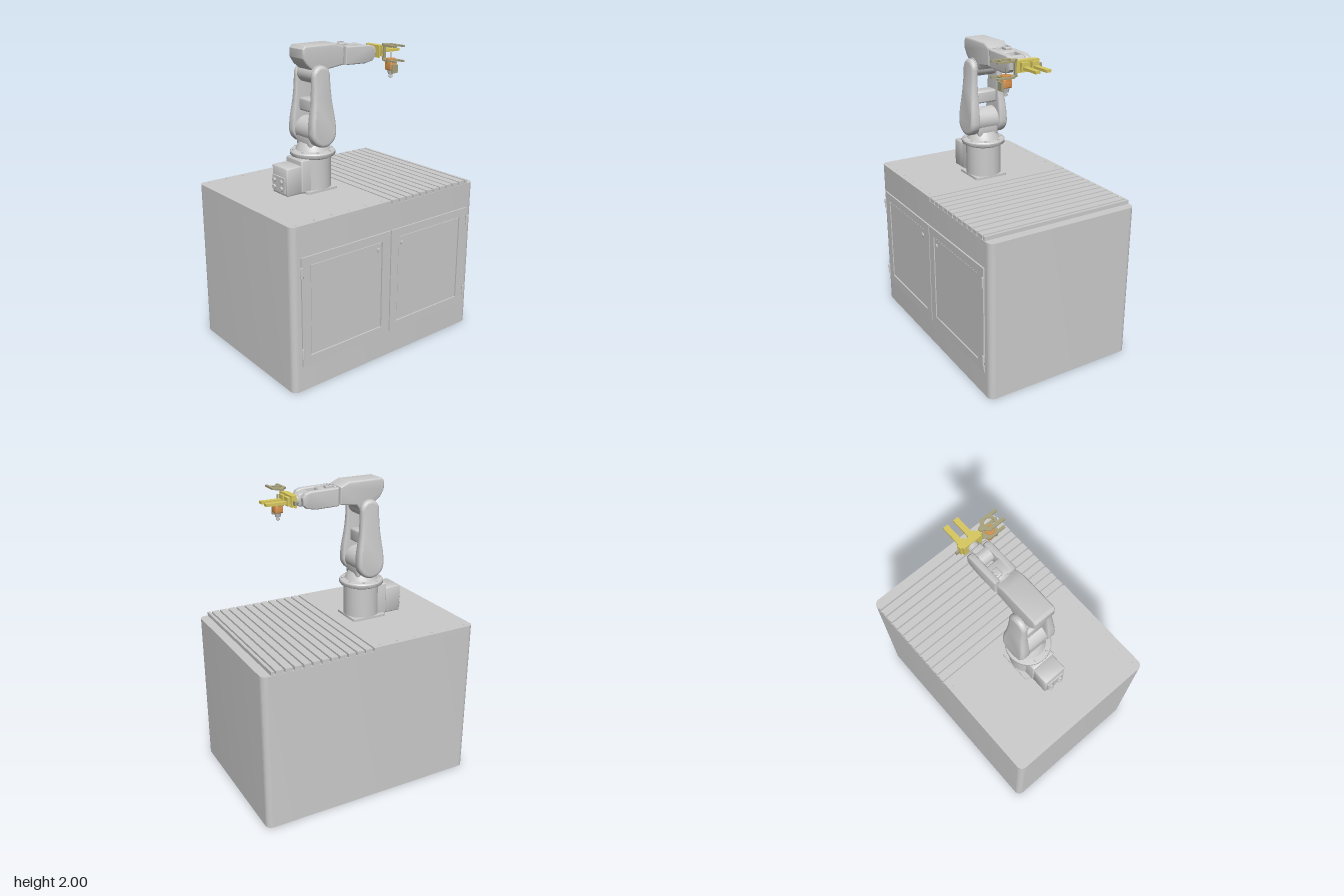
import * as THREE from 'three';
import { toCreasedNormals } from 'three/addons/utils/BufferGeometryUtils.js';
import { RoundedBoxGeometry } from 'three/addons/geometries/RoundedBoxGeometry.js';

const grey = new THREE.MeshStandardMaterial({ color: 0xcccccc });
const yellow = new THREE.MeshStandardMaterial({ color: 0xd8c860 });
const orange = new THREE.MeshStandardMaterial({ color: 0xd8924c });
const olive = new THREE.MeshStandardMaterial({ color: 0xa8a27c });
const RX = -0.21, RZ = -0.006; // robot axis

function add(parent, name, geo, mat = grey) {
  const mesh = new THREE.Mesh(toCreasedNormals(geo, 0.6), mat);
  mesh.name = name;
  parent.add(mesh);
  return mesh;
}

// Box given by its limits, optionally with rounded edges
function box(parent, name, [x0, x1], [y0, y1], [z0, z1], mat = grey, r = 0) {
  const s = [x1 - x0, y1 - y0, z1 - z0];
  const g = r ? new RoundedBoxGeometry(...s, 3, r) : new THREE.BoxGeometry(...s);
  g.translate((x0 + x1) / 2, (y0 + y1) / 2, (z0 + z1) / 2);
  return add(parent, name, g, mat);
}

// Cylinder along an axis
function cyl(parent, name, [x, y, z], r0, r1, h, axis = 'y', mat = grey) {
  const g = new THREE.CylinderGeometry(r1, r0, h, 40);
  if (axis === 'x') g.rotateZ(-Math.PI / 2);
  if (axis === 'z') g.rotateX(Math.PI / 2);
  return add(parent, name, g.translate(x, y, z), mat);
}

// Shape in the xy plane extruded between z0 and z1 with rounded rims
function prismGeo(shape, z0, z1, b = 0) {
  return new THREE.ExtrudeGeometry(shape, {
    depth: z1 - z0 - 2 * b, bevelEnabled: b > 0, bevelSize: b, bevelThickness: b,
    bevelOffset: -b, bevelSegments: 4, curveSegments: 16,
  }).translate(0, 0, z0 + b);
}

const poly = (pts) => new THREE.Shape(pts.map((p) => new THREE.Vector2(...p)));

// Rectangle with separate radii for its left and right corners
function roundRect(x0, x1, y0, y1, rl, rr = rl) {
  const s = new THREE.Shape();
  s.moveTo(x0 + rl, y0).lineTo(x1 - rr, y0);
  if (rr) s.absarc(x1 - rr, y0 + rr, rr, -Math.PI / 2, 0).absarc(x1 - rr, y1 - rr, rr, 0, Math.PI / 2);
  else s.lineTo(x1, y1);
  s.lineTo(x0 + rl, y1);
  if (rl) s.absarc(x0 + rl, y1 - rl, rl, Math.PI / 2, Math.PI).absarc(x0 + rl, y0 + rl, rl, Math.PI, Math.PI * 1.5);
  s.closePath();
  return s;
}

// Plan shape (x, -z) raised between two heights
const slab = (shape, y0, y1) => prismGeo(shape, y0, y1).rotateX(-Math.PI / 2);

function buildCabinet(root) {
  const g = new THREE.Group();
  g.name = 'cabinet';
  root.add(g);
  add(g, 'cabinetBody', slab(roundRect(-0.755, 0.755, -0.517, 0.537, 0.04), 0, 1.05));
  add(g, 'topPlate', slab(roundRect(-0.755, 0.004, -0.517, 0.537, 0.04, 0), 1.05, 1.075));
  // Slotted table
  for (let i = 0; i < 12; i++) {
    const x = 0.016 + i * 0.06;
    box(g, 'tableSlat', [x, i < 11 ? x + 0.048 : 0.695], [1.05, 1.075], [-0.535, 0.515]);
  }
  // Plate screws
  for (let i = 0; i < 6; i++) for (const z of [-0.505, 0.485])
    cyl(g, 'plateScrew', [-0.7 + i * 0.13, 1.0765, z], 0.006, 0.006, 0.004);
  // Doors with inset panels, hinges and latches
  for (const s of [-1, 1]) {
    const door = new THREE.Group();
    door.name = s < 0 ? 'rightDoor' : 'leftDoor';
    g.add(door);
    const [a, b] = s < 0 ? [-0.693, -0.004] : [0.004, 0.693];
    const [c, d] = s < 0 ? [-0.63, -0.07] : [0.063, 0.625];
    const frame = poly([[a, 0.17], [b, 0.17], [b, 0.88], [a, 0.88]]);
    frame.holes.push(poly([[c, 0.23], [c, 0.825], [d, 0.825], [d, 0.23]]));
    add(door, 'doorFrame', prismGeo(frame, 0.515, 0.527));
    box(door, 'doorPanel', [c + 0.006, d - 0.006], [0.236, 0.819], [0.515, 0.523]);
    for (const y of [0.26, 0.79])
      cyl(door, 'hinge', [s * 0.695, y, 0.53], 0.008, 0.008, 0.065);
    cyl(door, 'latch', [s * 0.1, 0.775, 0.525], 0.014, 0.014, 0.012, 'z');
  }
}

function buildBase(robot) {
  const foot = roundRect(RX - 0.125, RX + 0.118, -RZ - 0.118, -RZ + 0.118, 0.02);
  add(robot, 'footPlate', slab(foot, 1.075, 1.09));
  // Turned column with the swivel flange
  const profile = [[0, 1.08], [0.117, 1.08], [0.117, 1.29], [0.125, 1.3], [0.142, 1.302], [0.146, 1.308],
    [0.146, 1.325], [0.14, 1.333], [0.11, 1.337], [0.1, 1.36], [0.085, 1.385], [0, 1.385]];
  add(robot, 'baseColumn', new THREE.LatheGeometry(profile.map((p) => new THREE.Vector2(...p)), 48)
    .translate(RX, 0, RZ));
  box(robot, 'baseHousing', [-0.36, RX], [1.08, 1.295], [RZ - 0.085, RZ + 0.085], grey, 0.01);
  box(robot, 'connectorBox', [-0.47, -0.34], [1.08, 1.262], [RZ - 0.08, RZ + 0.08], grey, 0.008);
  box(robot, 'connectorPanel', [-0.48, -0.465], [1.1, 1.2], [RZ - 0.065, RZ + 0.065]);
  for (const z of [-0.04, 0.035]) for (const y of [1.125, 1.17])
    cyl(robot, 'connector', [-0.484, y, RZ + z], 0.014, 0.014, 0.018, 'x');
  for (let i = 0; i < 8; i++) {
    const t = (i + 0.5) * Math.PI / 4;
    cyl(robot, 'flangeBolt', [RX + 0.126 * Math.cos(t), 1.336, RZ + 0.126 * Math.sin(t)], 0.008, 0.008, 0.012);
  }
}

function buildLowerArm(robot) {
  box(robot, 'shoulderBlock', [RX - 0.075, RX + 0.075], [1.36, 1.46], [RZ - 0.075, RZ + 0.075], grey, 0.015);
  cyl(robot, 'shoulderDrum', [RX, 1.46, RZ], 0.083, 0.083, 0.156, 'z');
  box(robot, 'crossBar', [RX - 0.045, RX + 0.045], [1.58, 1.662], [RZ - 0.08, RZ + 0.08], grey, 0.012);
  cyl(robot, 'elbowDrum', [RX, 1.82, RZ], 0.06, 0.06, 0.156, 'z');
  // Bottle-shaped side links, thicker at the shoulder
  const link = new THREE.Shape();
  link.moveTo(0.066, 1.81);
  link.absarc(0, 1.81, 0.066, 0, Math.PI);
  link.bezierCurveTo(-0.066, 1.6, -0.094, 1.58, -0.094, 1.46);
  link.absarc(0, 1.46, 0.094, Math.PI, Math.PI * 2);
  link.bezierCurveTo(0.094, 1.58, 0.066, 1.6, 0.066, 1.81);
  for (const s of [-1, 1]) {
    const geo = prismGeo(link, 0, 1, 0.022);
    const p = geo.attributes.position;
    for (let i = 0; i < p.count; i++) {
      const t = THREE.MathUtils.smoothstep(p.getY(i), 1.42, 1.85);
      const z = p.getZ(i);
      const reach = 0.068 - 0.026 * t;
      p.setZ(i, z < 0.5 ? z * 0.4 : reach - (1 - z));
    }
    if (s < 0) geo.rotateY(Math.PI);
    add(robot, s < 0 ? 'rightLink' : 'leftLink', geo.translate(RX, 0, RZ + s * 0.072));
  }
}

function buildUpperArm(robot) {
  const elbow = poly([[-0.31, 2], [-0.326, 1.98], [-0.326, 1.925], [-0.3, 1.885], [-0.265, 1.855], [-0.23, 1.82],
    [-0.15, 1.81], [-0.125, 1.845], [-0.01, 1.86], [-0.008, 1.972], [-0.07, 2]]);
  add(robot, 'elbowHousing', prismGeo(elbow, RZ - 0.077, RZ + 0.073, 0.012));
  cyl(robot, 'forearmJoint', [-0.004, 1.916, RZ], 0.055, 0.055, 0.03, 'x');
  box(robot, 'forearmBlock', [0.004, 0.115], [1.858, 1.968], [RZ - 0.07, RZ + 0.07], grey, 0.012);
  // Fork cheeks carrying the wrist
  const cheek = poly([[0.002, 1.856], [0.16, 1.852], [0.225, 1.865], [0.245, 1.885], [0.25, 1.93],
    [0.235, 1.956], [0.2, 1.967], [0.002, 1.972]]);
  for (const s of [-1, 1]) {
    const z = RZ + s * 0.059;
    add(robot, 'forkCheek', prismGeo(cheek, z - 0.02, z + 0.02, 0.009));
  }
  box(robot, 'forearmCover', [0.02, 0.075], [1.96, 1.984], [-0.05, -0.01], grey, 0.006);
  for (const x of [0.035, 0.06]) cyl(robot, 'coverPort', [x, 1.985, -0.04], 0.009, 0.009, 0.012);
  cyl(robot, 'wristDrum', [0.195, 1.912, RZ], 0.047, 0.047, 0.085, 'z');
  box(robot, 'wristBody', [0.19, 0.26], [1.872, 1.952], [RZ - 0.036, RZ + 0.036], grey, 0.012);
  cyl(robot, 'wristFlange', [0.272, 1.912, RZ], 0.036, 0.036, 0.035, 'x');
}

function buildTools(robot) {
  const grip = new THREE.Group();
  grip.name = 'gripper';
  robot.add(grip);
  box(grip, 'gripperPlate', [0.286, 0.298], [1.875, 1.955], [-0.07, 0.06], yellow);
  box(grip, 'gripperBody', [0.298, 0.328], [1.885, 1.955], [-0.085, 0.075], yellow);
  box(grip, 'gripperRail', [0.305, 0.318], [1.9, 1.925], [-0.11, 0.08], olive);
  for (const z of [-0.047, 0.027]) {
    box(grip, 'jaw', [0.325, 0.348], [1.892, 1.945], [z - 0.026, z + 0.026], yellow);
    box(grip, 'finger', [0.34, 0.482], [1.903, 1.92], [z - 0.017, z + 0.017], yellow);
  }
  // Forked brackets holding the spindle
  const tool = new THREE.Group();
  tool.name = 'spindleTool';
  robot.add(tool);
  const fork = poly([[0.305, -0.07], [0.298, -0.09], [0.272, -0.11], [0.272, -0.225], [0.29, -0.225],
    [0.29, -0.185], [0.344, -0.185], [0.344, -0.225], [0.362, -0.225], [0.362, -0.11], [0.336, -0.09], [0.329, -0.07]]);
  fork.holes.push(new THREE.Path().absarc(0.317, -0.143, 0.03, 0, Math.PI * 2, true));
  for (const y of [1.862, 1.957]) add(tool, 'forkBracket', slab(fork, y, y + 0.011), olive);
  box(tool, 'bracketPost', [0.307, 0.327], [1.862, 1.968], [0.068, 0.085], olive);
  cyl(tool, 'spindleCollar', [0.317, 1.862, 0.143], 0.031, 0.031, 0.035, 'y', orange);
  box(tool, 'spindleBody', [0.29, 0.344], [1.805, 1.86], [0.114, 0.174], orange, 0.006);
  box(tool, 'spindleCover', [0.294, 0.34], [1.788, 1.842], [0.172, 0.186], olive);
  cyl(tool, 'spindlePin', [0.317, 1.895, 0.143], 0.004, 0.004, 0.05, 'y', olive);
  cyl(tool, 'spindleNose', [0.317, 1.792, 0.143], 0.016, 0.024, 0.03);
  cyl(tool, 'spindleTip', [0.317, 1.768, 0.143], 0.006, 0.009, 0.03);
  cyl(tool, 'spindleNut', [0.317, 1.763, 0.143], 0.012, 0.012, 0.009);
}

export function createModel() {
  const root = new THREE.Group();
  root.name = 'robotCell';
  buildCabinet(root);
  const robot = new THREE.Group();
  robot.name = 'robotArm';
  root.add(robot);
  [buildBase, buildLowerArm, buildUpperArm, buildTools].forEach((build) => build(robot));
  return root;
}
